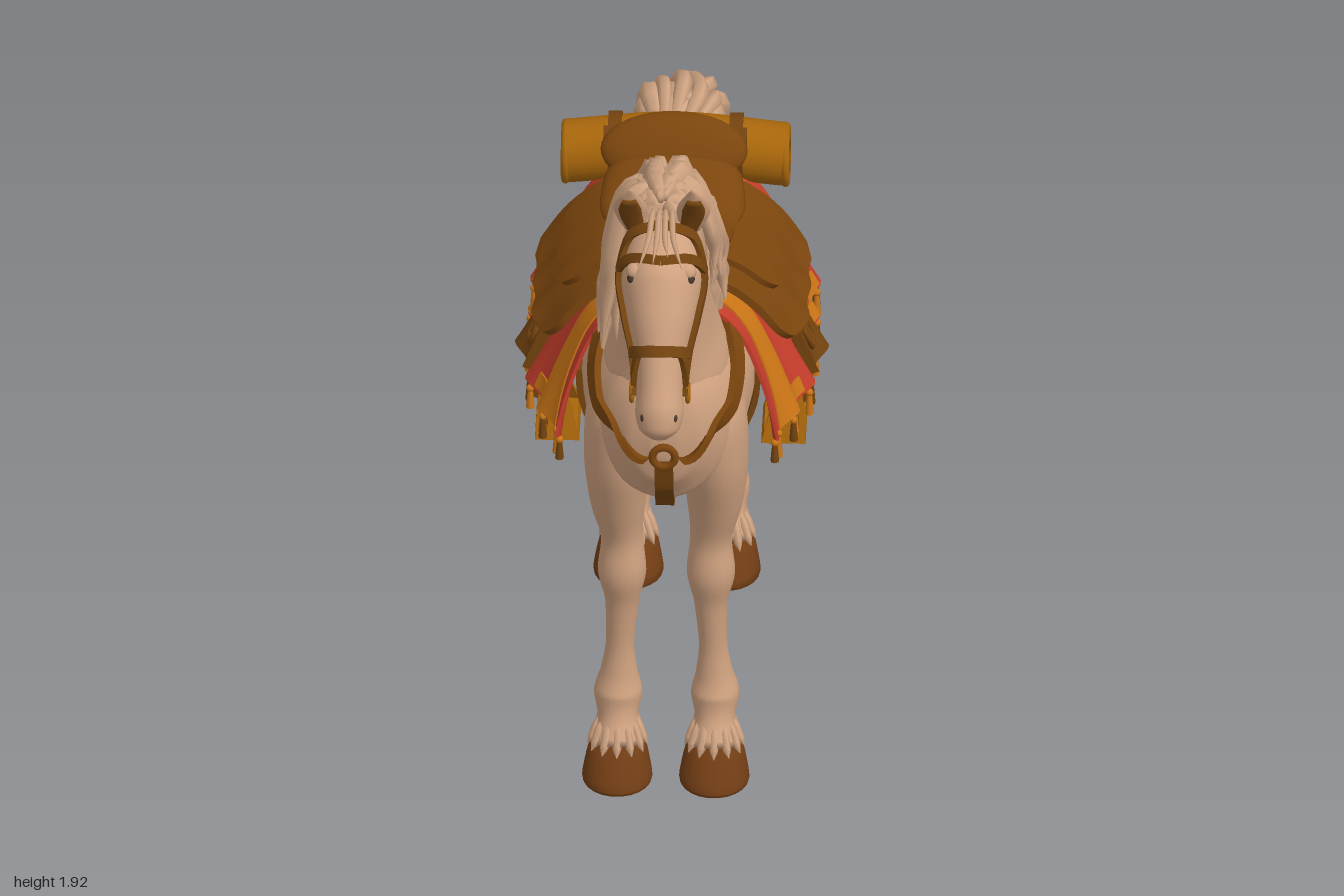
import * as THREE from 'three';
import { toCreasedNormals } from 'three/addons/utils/BufferGeometryUtils.js';

const V = (x, y, z) => new THREE.Vector3(x, y, z);
const curve = pts => new THREE.CatmullRomCurve3(pts.map(p => V(p[0], p[1], p[2] || 0)));
const smooth = THREE.MathUtils.smoothstep;
let seed = 7;
const rnd = () => (seed = (seed * 16807) % 2147483647) / 2147483647;
const mat = (name, color) => {
  const m = new THREE.MeshStandardMaterial({ color });
  m.name = name;
  return m;
};

// Skin over a list of closed rings, with pole caps at both ends
function skin(rings, crease) {
  const n = rings[0].length, pos = [], idx = [];
  rings.forEach(r => r.forEach(p => pos.push(p.x, p.y, p.z)));
  for (let i = 0; i < rings.length - 1; i++) for (let j = 0; j < n; j++) {
    const a = i * n + j, b = i * n + (j + 1) % n;
    idx.push(a, b, b + n, a, b + n, a + n);
  }
  [0, rings.length - 1].forEach((i, end) => {
    const c = rings[i].reduce((s, p) => s.add(p), V(0, 0, 0)).divideScalar(n), k = pos.length / 3;
    pos.push(c.x, c.y, c.z);
    for (let j = 0; j < n; j++) {
      const a = i * n + j, b = i * n + (j + 1) % n;
      end ? idx.push(k, a, b) : idx.push(k, b, a);
    }
  });
  const g = new THREE.BufferGeometry();
  g.setAttribute('position', new THREE.Float32BufferAttribute(pos, 3));
  g.setIndex(idx);
  g.computeVertexNormals();
  return crease ? toCreasedNormals(g, crease) : g;
}

// Elliptical loft through sections [x, y, z, half width, half depth]
function loft(secs, n = 16, rows = 40, flat = false) {
  const N = secs.length - 1, path = curve(secs), rad = curve(secs.map(s => [s[3], s[4]]));
  const at = (i, deg, off = 0) => {
    const t = Math.min(1, Math.max(0, i / N)), a = deg * Math.PI / 180;
    const T = flat ? V(0, -1, 0) : path.getTangent(t), r = rad.getPoint(t);
    const U = V(1, 0, 0).addScaledVector(T, -T.x).normalize(), W = T.clone().cross(U);
    return path.getPoint(t).addScaledVector(U, (Math.max(r.x, 0.001) + off) * Math.cos(a))
      .addScaledVector(W, (Math.max(r.y, 0.001) + off) * Math.sin(a));
  };
  const rings = [];
  for (let k = 0; k <= rows; k++)
    rings.push(Array.from({ length: n }, (_, j) => at(k / rows * N, j / n * 360)));
  return { at, geo: crease => skin(rings, crease) };
}

// Flat strap lying on a loft, through [section index, angle] points
function strap(part, pts, hw, off = 0.006, th = 0.007) {
  const c = curve(pts.map(p => [p[0], p[1] / 60])), m = 28, P = [], N = [];
  for (let k = 0; k <= m; k++) {
    const q = c.getPoint(k / m);
    P.push(part.at(q.x, q.y * 60, off));
    N.push(part.at(q.x, q.y * 60, off + 0.05).sub(P[k]).normalize());
  }
  return skin(P.map((p, k) => {
    const T = P[Math.min(m, k + 1)].clone().sub(P[Math.max(0, k - 1)]).normalize();
    const S = N[k].clone().cross(T).normalize();
    return [[1, 1], [-1, 1], [-1, -1], [1, -1]].map(([a, b]) =>
      p.clone().addScaledVector(S, a * hw).addScaledVector(N[k], b * th));
  }), 0.7);
}
const flip = pts => pts.map(([i, a]) => [i, 180 - a]);
const lock = (pts, w) => loft(pts.map((p, i) => {
  const f = i === pts.length - 1 ? 0.06 : [0.6, 1, 0.95, 0.75, 0.6][i];
  return [...p, w * f * 0.75, w * f];
}), 6, 16).geo();

// Draped surface over the back: s runs -1..1 from hem to hem
const drapeProfile = curve([[0, 1.285], [0.12, 1.27], [0.195, 1.205], [0.255, 1.1], [0.3, 1.005], [0.335, 0.925]]);
function drapeAt(s, z, o) {
  const a = Math.min(1, Math.abs(s)), p = drapeProfile.getPoint(a), t = drapeProfile.getTangent(a);
  o += 0.018 * Math.sin(z * 48) * a ** 3;
  const lift = 0.04 * smooth(-z, 0.1, 0.42) * (1 - 0.7 * a), narrow = 1 - 0.2 * a * smooth(z, 0.02, 0.28);
  return V((s < 0 ? -1 : 1) * (p.x - t.y * o) * narrow, p.y + t.x * o + lift, z * (1 + 0.16 * a));
}
function drape(z0, z1, s0, s1, o0, o1, flare = 0, round = 0) {
  const g = new THREE.BoxGeometry(1, 1, 1, 40, 1, 32), p = g.attributes.position;
  for (let i = 0; i < p.count; i++) {
    const u = p.getX(i) + 0.5, s = s0 + (s1 - s0) * u;
    const e = Math.max(0, (Math.abs(u * 2 - 1) - 0.75) / 0.25);
    const k = p.getZ(i) * (1 - round * (1 - Math.sqrt(1 - e * e)));
    const q = drapeAt(s, (z0 + z1) / 2 + k * (z1 - z0), o0 + (o1 - o0) * (p.getY(i) + 0.5) + flare * s * s);
    p.setXYZ(i, q.x, q.y, q.z);
  }
  g.computeVertexNormals();
  return g;
}

export function createModel() {
  const root = new THREE.Group();
  root.name = 'saddledHorse';
  const coat = mat('coat', 0xcfa17f), hair = mat('hair', 0xcfa381), leather = mat('saddleLeather', 0x7b450d),
    tack = mat('tackLeather', 0x74430f), red = mat('blanketRed', 0xc63d2b), orange = mat('trimOrange', 0xcc7616),
    gold = mat('bedrollTan', 0xa8660b), hoofM = mat('hoof', 0x6f3c14), sole = mat('sole', 0xa4988e), dark = mat('dark', 0x4a382c);
  const add = (name, geo, m, pos) => {
    const o = new THREE.Mesh(geo, m);
    o.name = name;
    if (pos) o.position.set(...pos);
    root.add(o);
    return o;
  };

  // Body, neck and head
  const body = loft([[0, 1.1, -0.68, 0.05, 0.08], [0, 1.095, -0.66, 0.13, 0.14], [0, 1.075, -0.58, 0.205, 0.195],
    [0, 1.07, -0.45, 0.24, 0.23], [0, 1.055, -0.25, 0.235, 0.225], [0, 1.04, 0, 0.225, 0.235], [0, 1.04, 0.2, 0.212, 0.24],
    [0, 1.06, 0.38, 0.19, 0.23], [0, 1.07, 0.48, 0.152, 0.2], [0, 1.07, 0.54, 0.09, 0.13], [0, 1.07, 0.56, 0.03, 0.04]], 36, 60);
  add('body', body.geo(), coat);
  add('neck', loft([[0, 1.08, 0.33, 0.16, 0.18], [0, 1.2, 0.34, 0.155, 0.195], [0, 1.31, 0.365, 0.125, 0.18], [0, 1.43, 0.405, 0.105, 0.152],
    [0, 1.57, 0.47, 0.09, 0.125], [0, 1.7, 0.54, 0.083, 0.113], [0, 1.77, 0.62, 0.075, 0.08], [0, 1.78, 0.67, 0.04, 0.04]], 28).geo(), coat);
  const head = loft([[0, 1.78, 0.65, 0.05, 0.04], [0, 1.74, 0.68, 0.083, 0.085], [0, 1.65, 0.74, 0.102, 0.122],
    [0, 1.58, 0.8, 0.087, 0.105], [0, 1.505, 0.85, 0.066, 0.085], [0, 1.43, 0.9, 0.058, 0.075], [0, 1.385, 0.928, 0.06, 0.072],
    [0, 1.345, 0.948, 0.05, 0.055], [0, 1.322, 0.955, 0.02, 0.02]], 28);
  add('head', head.geo(), coat);

  // Legs, hooves, ears, eyes and nostrils
  const foreLeg = [[0.1, 1.17, 0.355, 0.045, 0.07], [0.116, 1.05, 0.36, 0.082, 0.125], [0.122, 0.92, 0.36, 0.082, 0.112], [0.12, 0.78, 0.345, 0.07, 0.08],
    [0.11, 0.66, 0.335, 0.052, 0.055], [0.11, 0.57, 0.337, 0.06, 0.061], [0.11, 0.48, 0.335, 0.042, 0.042], [0.115, 0.36, 0.33, 0.035, 0.035],
    [0.118, 0.27, 0.325, 0.046, 0.047], [0.12, 0.21, 0.325, 0.06, 0.064], [0.12, 0.15, 0.345, 0.05, 0.052], [0.12, 0.085, 0.37, 0.066, 0.066]];
  const hindLeg = [[0.09, 1.16, -0.48, 0.05, 0.06], [0.112, 1.05, -0.485, 0.1, 0.14], [0.128, 0.92, -0.495, 0.1, 0.16], [0.13, 0.8, -0.55, 0.08, 0.12],
    [0.125, 0.7, -0.58, 0.06, 0.09], [0.12, 0.6, -0.615, 0.053, 0.073], [0.12, 0.52, -0.627, 0.045, 0.055], [0.12, 0.4, -0.63, 0.035, 0.037],
    [0.12, 0.3, -0.625, 0.045, 0.046], [0.12, 0.24, -0.615, 0.058, 0.062], [0.12, 0.18, -0.59, 0.05, 0.052], [0.12, 0.115, -0.56, 0.064, 0.064]];
  for (const s of [1, -1]) {
    const side = s > 0 ? 'left' : 'right', mx = r => r.map(p => [p[0] * s, ...p.slice(1)]);
    for (const [name, secs, y, z] of [['ForeLeg', foreLeg, 0, 0.37], ['HindLeg', hindLeg, 0.035, -0.56]]) {
      add(side + name, loft(mx(secs), 20, 48).geo(), coat);
      add(side + name + 'Hoof', loft(mx([[0.12, y + 0.096, z - 0.005, 0.06, 0.06], [0.12, y + 0.082, z, 0.072, 0.072],
        [0.12, y + 0.012, z + 0.03, 0.087, 0.098], [0.12, y + 0.004, z + 0.03, 0.085, 0.096]]), 22, 12, true).geo(0.8), hoofM);
      add(side + name + 'Sole', loft(mx([[0.12, y + 0.005, z + 0.03, 0.08, 0.091], [0.12, y, z + 0.03, 0.08, 0.091]]), 22, 1, true).geo(0.8), sole);
      // Feathering over the hoof
      for (let k = 0; k < 12; k++) {
        const a = Math.PI * 2 * k / 12, c = Math.cos(a), d = Math.sin(a), back = d < 0 ? 0.03 : 0;
        const q = (r, h, dz) => [0.12 * s + c * r, y + h, z + d * r + dz];
        add(side + name + 'Feather', lock([q(0.04, 0.15 + back, -0.025), q(0.053, 0.125, -0.014), q(0.063, 0.1, -0.006), q(0.074, 0.082, 0)], 0.015), hair);
      }
    }
    const ear = [[0.065, 1.77, 0.68, 0.03, 0.02], [0.078, 1.83, 0.7, 0.042, 0.024], [0.08, 1.88, 0.73, 0.027, 0.014], [0.076, 1.915, 0.75, 0.004, 0.004]];
    add(side + 'Ear', loft(mx(ear), 14, 16).geo(), coat);
    add(side + 'EarInside', loft(mx(ear.slice(0, 3).map(p => [p[0], p[1], p[2] + 0.016, p[3] * 0.7, p[4] * 0.6])), 12, 12).geo(), tack);
    const on = (i, a, o) => head.at(i, s > 0 ? a : 180 - a, o).toArray();
    add(side + 'Eye', new THREE.SphereGeometry(0.016, 14, 10), dark, on(2.05, 42, -0.01));
    add(side + 'EyeBrow', new THREE.SphereGeometry(0.024, 12, 8), coat, on(1.85, 44, -0.013));
    add(side + 'Nostril', new THREE.SphereGeometry(0.012, 12, 8), dark, on(6.3, 42, -0.009)).scale.set(0.8, 1.3, 1);

    // Bridle and chest straps on each side
    const m = pts => s > 0 ? pts : flip(pts);
    add(side + 'CheekStrap', strap(head, m([[0.6, 85], [1.1, 25], [2, 8], [3, 8], [4, 6], [5.1, -8]]), 0.012), tack);
    add(side + 'BrowStrap', strap(head, m([[1.6, 90], [1.55, 45], [1.8, 5], [2.1, -45], [2.2, -90]]), 0.012), tack);
    add(side + 'NoseStrap', strap(head, m([[4, 45], [4.5, 20], [5.1, -8]]), 0.008), tack);
    add(side + 'BitRing', new THREE.TorusGeometry(0.022, 0.006, 8, 18).rotateY(Math.PI / 2), gold, on(5.1, -8, 0.012));
    add(side + 'BreastCollar', strap(body, m([[5.8, 58], [6.6, 42], [7.2, 30], [8, 17], [9, 3], [9.9, -45]]), 0.024, 0.022, 0.009), leather);

    // Fender, buckle and stirrup
    add(side + 'Fender', drape(-0.115, -0.005, s > 0 ? 0.5 : -1, s > 0 ? 1 : -0.5, 0.012, 0.04), tack);
    const buckle = add(side + 'FenderBuckle', new THREE.TorusGeometry(0.034, 0.008, 6, 4).rotateZ(Math.PI / 4).rotateY(Math.PI / 2), leather,
      drapeAt(s * 0.82, -0.055, 0.045).toArray());
    buckle.rotation.z = s * 0.4;
    add(side + 'StirrupLeather', new THREE.BoxGeometry(0.03, 0.13, 0.075), tack, [s * 0.312, 0.905, -0.055]).rotation.z = s * 0.3;
    const trap = (b, t, y0, y1) => [[-b, y0], [b, y0], [t, y1], [-t, y1]].map(p => new THREE.Vector2(...p));
    const shape = new THREE.Shape(trap(0.092, 0.045, 0, 0.135));
    shape.holes.push(new THREE.Path(trap(0.074, 0.032, 0.022, 0.116)));
    const st = new THREE.ExtrudeGeometry(shape, { depth: 0.11, bevelEnabled: false }).translate(0, 0, -0.055).rotateY(Math.PI / 2);
    const sp = st.attributes.position;
    for (let i = 0; i < sp.count; i++) sp.setX(i, sp.getX(i) * (1 - 3.2 * sp.getY(i)) + s * 0.1 * sp.getY(i));
    st.computeVertexNormals();
    add(side + 'Stirrup', st, gold, [s * 0.28, 0.755, -0.055]);

    // Blanket tassels and bedroll end coils
    for (let k = 0; k < 17; k++) {
      const p = drapeAt(s, 0.25 - k * 0.0395, 0.004), h = 0.055 + 0.015 * rnd();
      add(side + 'Tassel', new THREE.CylinderGeometry(0.006, 0.011, h, 7), k % 2 ? orange : tack, [p.x, p.y - h / 2 - 0.01, p.z]);
      add(side + 'TasselKnot', new THREE.SphereGeometry(0.01, 8, 6), orange, [p.x, p.y - 0.012, p.z]);
    }
    for (const r of [0.022, 0.047, 0.07])
      add(side + 'BedrollCoil', new THREE.TorusGeometry(r, 0.011, 8, 24).rotateY(Math.PI / 2), r === 0.047 ? tack : gold, [s * 0.272, 1.308, -0.43]);
    add(side + 'BedrollEnd', new THREE.CylinderGeometry(0.078, 0.078, 0.02, 24).rotateZ(Math.PI / 2), gold, [s * 0.262, 1.31, -0.43]);
    add(side + 'BedrollStrap', new THREE.CylinderGeometry(0.087, 0.087, 0.034, 24).rotateZ(Math.PI / 2), tack, [s * 0.15, 1.325, -0.43]);
    add(side + 'BedrollBuckle', new THREE.BoxGeometry(0.055, 0.03, 0.05), tack, [s * 0.15, 1.385, -0.375]).rotation.x = 0.8;
  }

  // Remaining bridle, girths, chest strap and crupper
  const around = (i, from, to) => Array.from({ length: 9 }, (_, k) => [i, from + (to - from) * k / 8]);
  add('noseband', strap(head, around(4, 0, 360), 0.014), tack);
  add('chinStrap', strap(head, around(5.1, -192, 12), 0.009), tack);
  add('frontGirth', strap(body, around(5.9, -185, 5), 0.028, 0.008), tack);
  add('rearGirth', strap(body, around(4.75, -185, 5), 0.045, 0.008), tack);
  add('chestStrap', strap(body, [[9.9, -90], [9, -90], [8, -90], [7, -90], [5.9, -90]], 0.023, 0.014), tack);
  add('chestRing', new THREE.TorusGeometry(0.028, 0.01, 8, 20), leather, [0, 1.035, 0.572]);
  add('crupper', strap(body, [[3.3, 90], [2.6, 90], [1.9, 90], [1.3, 90]], 0.02, 0.014), tack);
  add('crupperRing', new THREE.TorusGeometry(0.056, 0.014, 8, 24), tack, [0, 1.215, -0.645]).rotation.x = -0.6;

  // Blanket with orange border stripes
  add('blanket', drape(-0.39, 0.265, -1, 1, 0, 0.01), red);
  for (const [z0, z1] of [[0.135, 0.215], [-0.335, -0.28]]) add('blanketStripe', drape(z0, z1, -1, 1, 0.008, 0.015), orange);
  for (const [z0, z1] of [[0.07, 0.215], [-0.345, -0.18]])
    for (const s of [1, -1]) add('blanketHem', drape(z0, z1, s > 0 ? 0.88 : -0.98, s > 0 ? 0.98 : -0.88, 0.008, 0.015), orange);

  // Saddle
  add('saddleSkirt', drape(-0.285, 0.175, -0.63, 0.63, 0.016, 0.036, 0.13, 0.35), leather);
  add('saddleJockey', drape(-0.24, 0.09, -0.46, 0.46, 0.034, 0.052, 0.13, 0.4), leather);
  add('saddleSeat', loft([[0, 1.31, 0.13, 0.05, 0.03], [0, 1.335, 0.08, 0.13, 0.065], [0, 1.33, 0.02, 0.15, 0.06], [0, 1.31, -0.07, 0.16, 0.045],
    [0, 1.32, -0.16, 0.18, 0.045], [0, 1.36, -0.24, 0.17, 0.05], [0, 1.4, -0.28, 0.12, 0.03]], 28).geo(), leather);
  const cantle = add('cantle', new THREE.SphereGeometry(1, 28, 18), leather, [0, 1.405, -0.285]);
  cantle.scale.set(0.182, 0.096, 0.042);
  cantle.rotation.x = -0.65;
  const pommel = add('pommel', new THREE.SphereGeometry(1, 28, 18), leather, [0, 1.375, 0.045]);
  pommel.scale.set(0.105, 0.095, 0.036);
  pommel.rotation.x = 0.45;

  // Bedroll
  add('bedroll', new THREE.TubeGeometry(curve([[-0.265, 1.31, -0.43], [0, 1.335, -0.43], [0.265, 1.31, -0.43]]), 20, 0.079, 24), gold);

  // Mane: a core along the crest covered in wavy locks, longer on the right side
  const crestPts = [[0, 1.805, 0.65], [0, 1.8, 0.56], [0, 1.725, 0.43], [0, 1.58, 0.33], [0, 1.4, 0.22]], crest = curve(crestPts);
  add('maneCore', loft(crestPts.map((p, i) => [...p, [0.03, 0.06, 0.075, 0.08, 0.055][i], [0.02, 0.04, 0.055, 0.055, 0.04][i]]), 18, 24).geo(), hair);
  for (let k = 0; k < 100; k++) {
    const s = k % 2 ? 1 : -1, f = Math.floor(k / 2) / 50, p = crest.getPoint(f), w = 0.02 + 0.016 * rnd(), over = k % 3 === 0;
    const len = (0.19 + 0.14 * rnd()) * (s > 0 ? 1 - 0.3 * f : 1.2), dz = over ? -0.12 - 0.04 * rnd() : -0.09 + 0.16 * rnd();
    const x = (over ? 0.02 + 0.05 * rnd() : 0.075 + 0.04 * rnd() + (s > 0 ? 0.02 : 0.05) * f) * Math.min(1, 0.6 + f * 2), rise = over ? 0.032 : 0.012;
    const q = (a, b, c) => [p.x + s * a, p.y + b, p.z + c];
    add('maneLock', lock([q(0.005, rise, 0.01), q(x * 0.65, rise - 0.01, dz * 0.4), q(x, -len * 0.4, dz * 0.6 + 0.012),
      q(x + 0.012, -len * 0.72, dz - 0.02), q(x + 0.03 * rnd(), -len, dz + 0.005)], w), hair);
  }
  for (let k = 0; k < 4; k++) {
    const x = (k - 1.5) * 0.014;
    add('forelock', lock([[x, 1.8, 0.65], [x * 1.2, 1.82, 0.72], [x * 1.5, 1.8, 0.8], [x * 2.6, 1.75 + 0.02 * (k % 3), 0.86]], 0.01), hair);
  }

  // Tail: a core with locks winding along its surface
  const tail = loft([[0, 1.195, -0.63, 0.035, 0.035], [0, 1.245, -0.71, 0.065, 0.05], [0, 1.19, -0.82, 0.09, 0.08], [0, 1.02, -0.85, 0.09, 0.085],
    [0, 0.8, -0.88, 0.075, 0.085], [0, 0.6, -0.83, 0.055, 0.085], [0, 0.42, -0.87, 0.035, 0.05], [0, 0.27, -0.87, 0.008, 0.01]], 18);
  add('tailCore', tail.geo(), hair);
  for (let k = 0; k < 34; k++) {
    const a = k * 137.5, i0 = 0.4 + 3 * (k % 5) / 5, L = 2.8 + 1.4 * rnd(), w = 0.022 + 0.015 * rnd();
    const pts = [0, 0.25, 0.5, 0.75, 1].map((u, j) =>
      tail.at(Math.min(i0 + L * u, 6.9), a + (j % 2 ? 14 : -14), u === 1 ? 0.03 : j % 2 ? 0.012 : -0.004).toArray());
    add('tailLock', lock(pts, w), hair);
  }
  add('tailTip', lock([[0.01, 0.5, -0.86], [0.02, 0.4, -0.89], [0.0, 0.31, -0.86], [0.01, 0.22, -0.875]], 0.035), hair);
  return root;
}
